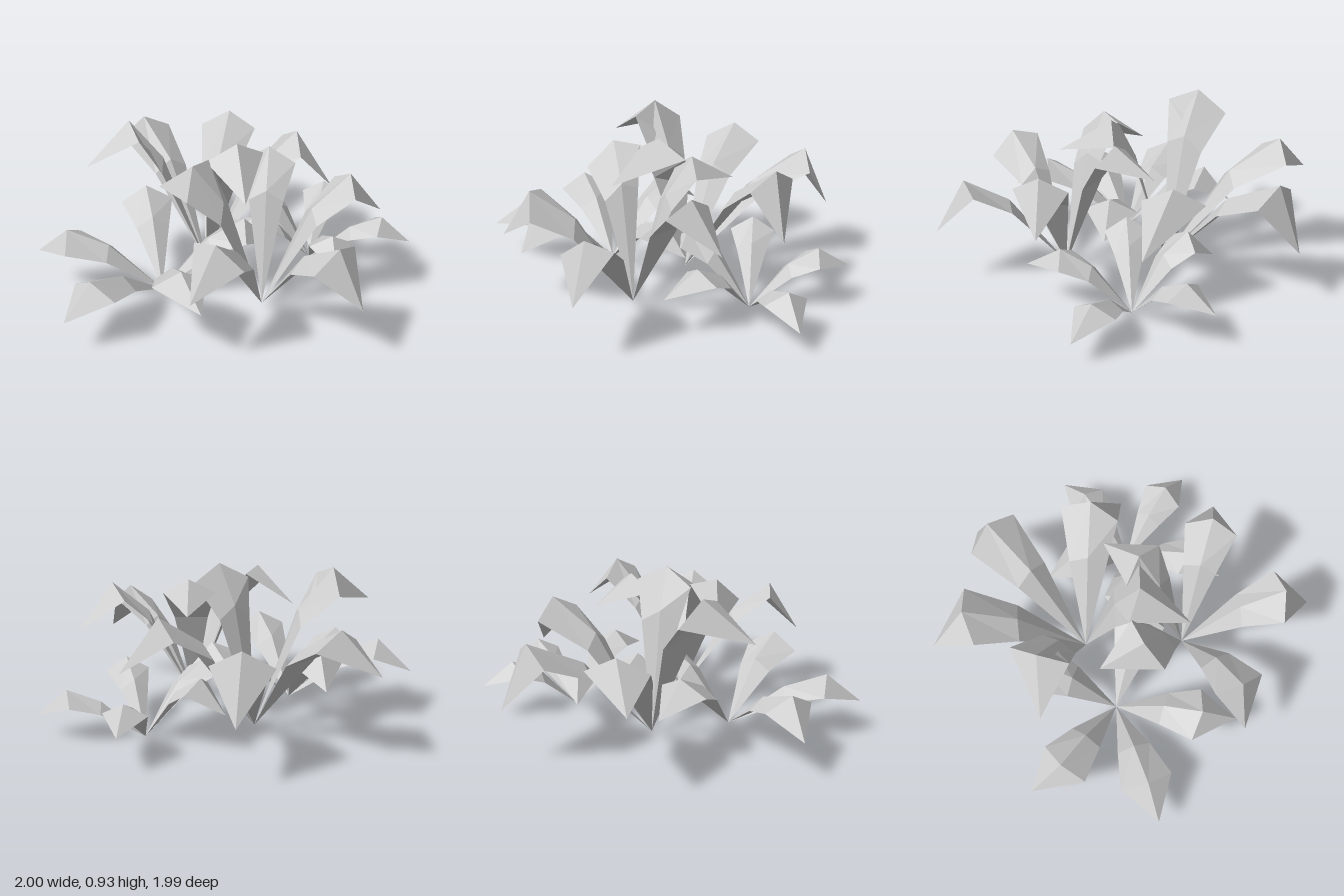
import * as THREE from 'three';

const material = new THREE.MeshStandardMaterial({
  color: 0xcccccc, flatShading: true, side: THREE.DoubleSide,
});

// Left edge, ridge and right edge of a folded leaf section
function section(ridge, heading, halfWidth, drop, back, roll) {
  const forward = heading.clone().setY(0).normalize();
  const side = new THREE.Vector3(forward.z, 0, -forward.x);
  const edge = (s) => ridge.clone()
    .addScaledVector(side, s * halfWidth)
    .addScaledVector(forward, -back)
    .add(new THREE.Vector3(0, -drop - s * roll, 0));
  return [edge(1), ridge, edge(-1)];
}

// Solid leaf: a point at the root, a bend, a broad shoulder and a drooping tip
function leafGeometry(root, ridge, tip, width, roll) {
  const bend = root.clone().lerp(ridge, 0.56);
  bend.y = THREE.MathUtils.lerp(root.y, ridge.y, 0.75);
  const lower = section(bend, ridge.clone().sub(root), width * 0.64, width * 0.4, 0, roll / 2);
  const upper = section(ridge, tip.clone().sub(root), width, width * 0.55, 0.03, roll);
  const points = [];
  // Two top strips either side of the ridge, then the underside
  for (const [i, j] of [[0, 1], [1, 2], [2, 0]]) {
    const [a, b, c, d] = [lower[i], lower[j], upper[i], upper[j]];
    points.push(root, b, a, a, b, d, a, d, c, c, d, tip);
  }
  const geometry = new THREE.BufferGeometry().setFromPoints(points);
  geometry.computeVertexNormals();
  return geometry;
}

// Each leaf is the top of its ridge, its tip and, where needed, a sideways roll of its shoulders
function makePlant(name, width, root, leaves) {
  const plant = new THREE.Group();
  plant.name = name;
  leaves.forEach(([ridge, tip, roll = 0], i) => {
    const [base, top, end] = [root, ridge, tip].map((p) => new THREE.Vector3(...p));
    const leaf = new THREE.Mesh(leafGeometry(base, top, end, width, roll), material);
    leaf.name = `leaf${i + 1}`;
    plant.add(leaf);
  });
  return plant;
}

export function createModel() {
  const model = new THREE.Group();
  model.name = 'leafyPlants';

  model.add(makePlant('backLeafCluster', 0.17, [-0.155, 0.015, -0.115], [
    [[-0.23, 0.69, -0.85], [-0.23, 0.335, -1]],
    [[-0.68, 0.73, -0.52], [-0.9, 0.5, -0.55]],
    [[0.28, 0.745, -0.54], [0.51, 0.41, -0.535]],
    [[-0.57, 0.93, 0], [-0.75, 0.71, 0.22], -0.03],
    [[0.09, 0.905, 0.08], [0.22, 0.69, 0.36]],
  ]));

  model.add(makePlant('smallLeafCluster', 0.125, [0.415, 0, -0.375], [
    [[0.415, 0.33, -0.76], [0.4, 0.21, -0.94]],
    [[0.83, 0.28, -0.48], [1, 0.13, -0.5]],
    [[0.62, 0.35, -0.04], [0.69, 0.22, 0.15]],
    [[0.14, 0.38, -0.08], [0.03, 0.23, 0.04]],
    [[0.07, 0.4, -0.47], [-0.08, 0.22, -0.53]],
  ]));

  model.add(makePlant('frontLeafCluster', 0.15, [-0.285, 0.05, 0.305], [
    [[-0.8, 0.41, 0.42], [-1, 0.23, 0.39]],
    [[-0.5, 0.35, 0.81], [-0.58, 0.19, 0.99]],
    [[-0.02, 0.45, 0.73], [0.13, 0.29, 0.86]],
    [[-0.52, 0.48, -0.1], [-0.58, 0.29, -0.25]],
    [[0.13, 0.44, 0.06], [0.28, 0.26, -0.04]],
  ]));

  model.add(makePlant('sideLeafCluster', 0.15, [0.29, 0.03, 0.26], [
    [[0.77, 0.62, 0.56], [0.92, 0.33, 0.64], -0.03],
    [[0.19, 0.68, 0.8], [0.1, 0.4, 0.95], 0.04],
    [[0.71, 0.78, 0.01], [0.865, 0.52, -0.12]],
    [[0.23, 0.84, -0.08], [0.18, 0.69, -0.32]],
    [[-0.09, 0.85, 0.31], [-0.32, 0.65, 0.21], 0.06],
  ]));

  return model;
}
